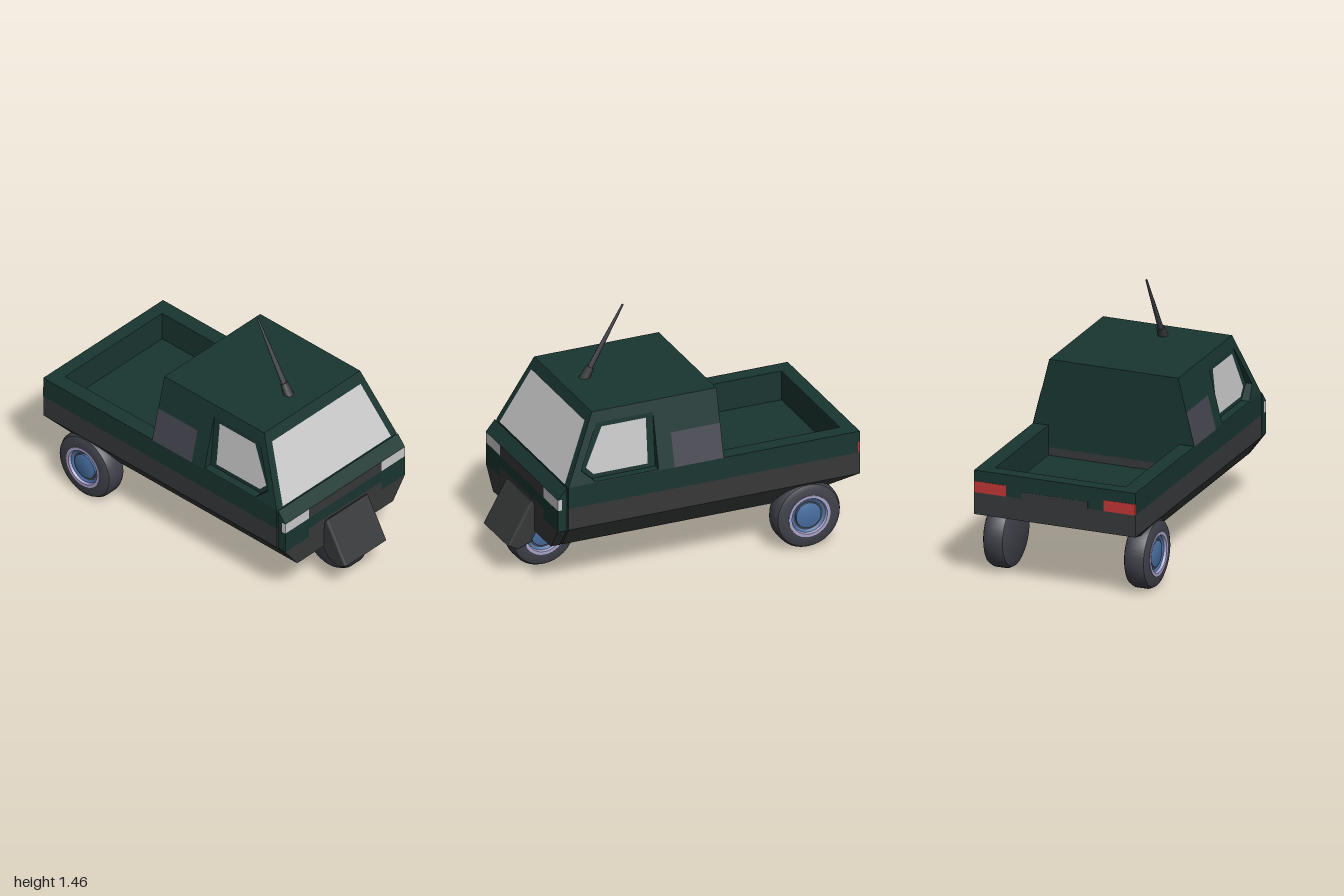
import * as THREE from 'three';
import { toCreasedNormals } from 'three/addons/utils/BufferGeometryUtils.js';
import { ConvexGeometry } from 'three/addons/geometries/ConvexGeometry.js';

const mat = (color) => new THREE.MeshStandardMaterial({ color, side: THREE.DoubleSide });
const green = mat(0x193530), dark = mat(0x373839), glass = mat(0xcccccc), lamp = mat(0xbcbcbc);
const red = mat(0xc03636), vent = mat(0x45454f), rubber = mat(0x40414a);
const lavender = mat(0xaaa2ca), blue = mat(0x4a70a3);

const W = 0.487;    // half width of the body
const FRONT = 0.775, CAB_BACK = -0.17, BELT = 0.66, ROOF = 1.05;

export function createModel() {
  const root = new THREE.Group();
  const add = (name, geometry, material, parent = root) => {
    const mesh = new THREE.Mesh(geometry, material);
    mesh.name = name;
    parent.add(mesh);
    return mesh;
  };
  const box = (name, material, x0, x1, y0, y1, z0, z1) => add(name,
    new THREE.BoxGeometry(Math.abs(x1 - x0), y1 - y0, z1 - z0)
      .translate((x0 + x1) / 2, (y0 + y1) / 2, (z0 + z1) / 2), material);
  const shapeOf = (pts) => new THREE.Shape(pts.map(([x, y]) => new THREE.Vector2(x, y)));
  // flat outline (u, v) laid onto a sloped plane
  const panel = (name, material, pts, place, hole) => {
    const shape = shapeOf(pts);
    if (hole) shape.holes.push(shapeOf(hole));
    const geometry = new THREE.ShapeGeometry(shape);
    const p = geometry.attributes.position;
    for (let i = 0; i < p.count; i++) p.setXYZ(i, ...place(p.getX(i), p.getY(i)));
    geometry.computeVertexNormals();
    return add(name, geometry, material);
  };
  // side profile of (z, y) points extruded across x
  const profileX = (name, material, pts, half, bevel = 0) => add(name,
    new THREE.ExtrudeGeometry(shapeOf(pts.map(([z, y]) => [-z, y])), {
      depth: 2 * (half - bevel), bevelEnabled: bevel > 0, bevelSize: bevel,
      bevelThickness: bevel, bevelOffset: -bevel, bevelSegments: 3,
    }).translate(0, 0, bevel - half).rotateY(Math.PI / 2), material);
  const profileZ = (name, material, pts, z0, z1) => add(name,
    new THREE.ExtrudeGeometry(shapeOf(pts), { depth: z1 - z0, bevelEnabled: false })
      .translate(0, 0, z0), material);

  // Tapered underside
  const hull = [];
  for (const s of [-1, 1]) {
    hull.push([s * W, 0.4, FRONT], [s * W, 0.4, -1], [s * 0.39, 0.27, FRONT], [s * 0.39, 0.27, -0.57]);
  }
  add('underside', new ConvexGeometry(hull.map((p) => new THREE.Vector3(...p))), dark);

  // Lower body and load bed
  box('bodyFloor', dark, -W, W, 0.4, 0.48, -1, FRONT);
  box('cabSill', dark, -W, W, 0.48, 0.53, CAB_BACK, FRONT);
  box('cabBase', green, -W, W, 0.53, BELT, CAB_BACK, FRONT);
  box('bedFloor', green, -0.395, 0.395, 0.475, 0.483, -0.92, CAB_BACK);
  box('tailBand', dark, -W, W, 0.48, 0.53, -1, -0.925);
  box('tailLiner', green, -0.395, 0.395, 0.48, 0.53, -0.925, -0.92);
  box('tailgate', green, -0.395, 0.395, 0.53, BELT, -1, -0.92);
  box('tailPanel', dark, -0.2, 0.2, 0.53, 0.57, -1.001, -0.99);
  for (const s of [-1, 1]) {
    box('bedBand', dark, s * 0.4, s * W, 0.48, 0.53, -0.925, CAB_BACK);
    box('bedLiner', green, s * 0.395, s * 0.4, 0.48, 0.53, -0.925, CAB_BACK);
    box('bedRail', green, s * 0.395, s * W, 0.53, BELT, -1, CAB_BACK);
    box('tailLight', red, s * 0.295, s * W, 0.53, 0.595, -1.002, -0.99);
  }

  // Cab shell: walls lean inwards, windscreen leans back
  const lean = (y) => W - 0.249 * (y - BELT);
  const frontZ = (y) => FRONT - 0.475 * (y - BELT);
  const xTop = lean(ROOF), zTop = frontZ(ROOF);
  panel('roof', green, [[-xTop, CAB_BACK], [xTop, CAB_BACK], [xTop, zTop], [-xTop, zTop]],
    (x, z) => [x, ROOF, z]);
  const cabFace = [[-W, BELT], [W, BELT], [xTop, ROOF], [-xTop, ROOF]];
  panel('cabBack', green, cabFace, (x, y) => [x, y, CAB_BACK]);
  panel('cabFront', green, cabFace, (x, y) => [x, y, frontZ(y)]);
  panel('windscreen', glass, [[-0.44, 0.662], [0.44, 0.662], [0.36, 0.99], [-0.36, 0.99]],
    (x, y) => [x, y + 0.001, frontZ(y) + 0.003]);

  // Cab sides with recessed windows and flush vents
  const side = [[CAB_BACK, BELT], [FRONT, BELT], [zTop, ROOF], [CAB_BACK, ROOF]];
  const opening = [[0.225, 0.665], [0.61, 0.665], [0.69, 0.74], [0.57, 0.985], [0.225, 0.985]];
  const pane = [[0.27, 0.69], [0.6, 0.69], [0.645, 0.735], [0.54, 0.96], [0.27, 0.96]];
  const ventShape = [[CAB_BACK, BELT], [0.13, BELT], [0.13, 0.855], [CAB_BACK, 0.855]];
  const inset = (y) => 0.437 - 0.1 * (y - BELT);
  for (const s of [-1, 1]) {
    panel('cabSide', green, side, (z, y) => [s * lean(y), y, z], opening);
    panel('windowFrame', green, opening, (z, y) => [s * inset(y), y, z]);
    panel('sideWindow', glass, pane, (z, y) => [s * (inset(y) + 0.003), y, z]);
    panel('engineVent', vent, ventShape, (z, y) => [s * (lean(y) + 0.002), y, z]);
    opening.forEach(([z0, y0], i) => {
      const [z1, y1] = opening[(i + 1) % opening.length];
      panel('windowReveal', green, [[0, 0], [1, 0], [1, 1], [0, 1]], (t, d) => {
        const y = y0 + (y1 - y0) * t;
        return [s * (d ? inset(y) : lean(y)), y, z0 + (z1 - z0) * t];
      });
    });
  }

  // Nose panel, set off from the cab by a narrow gap
  const N0 = 0.785, N1 = 0.84;
  profileZ('noseLower', dark, [[-0.39, 0.27], [0.39, 0.27], [W, 0.4], [0.295, 0.4],
    [0.295, 0.46], [-0.295, 0.46], [-0.295, 0.4], [-W, 0.4]], N0, N1);
  profileZ('noseUpper', green, [[-W, 0.4], [-0.295, 0.4], [-0.295, 0.46], [0.295, 0.46],
    [0.295, 0.4], [W, 0.4], [W, 0.53], [-W, 0.53]], N0, N1);
  box('grille', dark, -0.295, 0.295, 0.53, 0.595, N0, N1);
  profileX('noseCap', green, [[N0, 0.595], [N1, 0.595], [N0, BELT]], W);
  for (const s of [-1, 1]) {
    box('headlight', lamp, s * 0.295, s * W, 0.53, 0.595, 0.815, N1);
    box('headlightBack', green, s * 0.295, s * W, 0.53, 0.595, N0, 0.815);
  }

  // Front mudguard
  profileX('mudguard', dark, [[0.858, 0.455], [1, 0.205], [0.94, 0.17], [0.86, 0.2],
    [0.8, 0.3], [0.842, 0.445]], 0.17, 0.012);

  // Wheels: hub on the outer face only
  const turned = (pts) => toCreasedNormals(new THREE.LatheGeometry(
    pts.map(([r, h]) => new THREE.Vector2(r, h)), 36).rotateZ(-Math.PI / 2), 0.6);
  const tyre = turned([[0, -0.069], [0.165, -0.069], [0.188, -0.058], [0.2, -0.035],
    [0.2, 0.035], [0.188, 0.058], [0.165, 0.069], [0.125, 0.069], [0.118, 0.045], [0, 0.045]]);
  const rim = turned([[0.126, 0.06], [0.126, 0.072], [0.108, 0.072], [0.1, 0.05]]);
  const ring = turned([[0.104, 0.046], [0.104, 0.058], [0.088, 0.05]]);
  const cap = turned([[0.076, 0.045], [0.076, 0.058], [0.066, 0.062], [0, 0.062]]);
  const wheel = (name, x, z, turn) => {
    const group = new THREE.Group();
    group.name = name;
    add('tyre', tyre, rubber, group);
    add('rim', rim, lavender, group);
    add('rimRing', ring, blue, group);
    add('hubCap', cap, blue, group);
    group.position.set(x, 0.2, z);
    group.rotation.y = turn;
    root.add(group);
  };
  wheel('rearLeftWheel', 0.426, -0.69, 0);
  wheel('rearRightWheel', -0.426, -0.69, Math.PI);
  wheel('frontWheel', 0.026, 0.745, 0);

  // Aerial leaning backwards from the roof
  const aerial = new THREE.Group();
  aerial.name = 'aerial';
  add('aerialBase', new THREE.CylinderGeometry(0.023, 0.03, 0.08, 10).translate(0, 0.025, 0), dark, aerial);
  add('aerialRod', new THREE.CylinderGeometry(0.006, 0.017, 0.41, 8).translate(0, 0.26, 0), rubber, aerial);
  aerial.position.set(-0.035, 1.05, 0.44);
  aerial.rotation.x = -0.52;
  root.add(aerial);

  return root;
}
